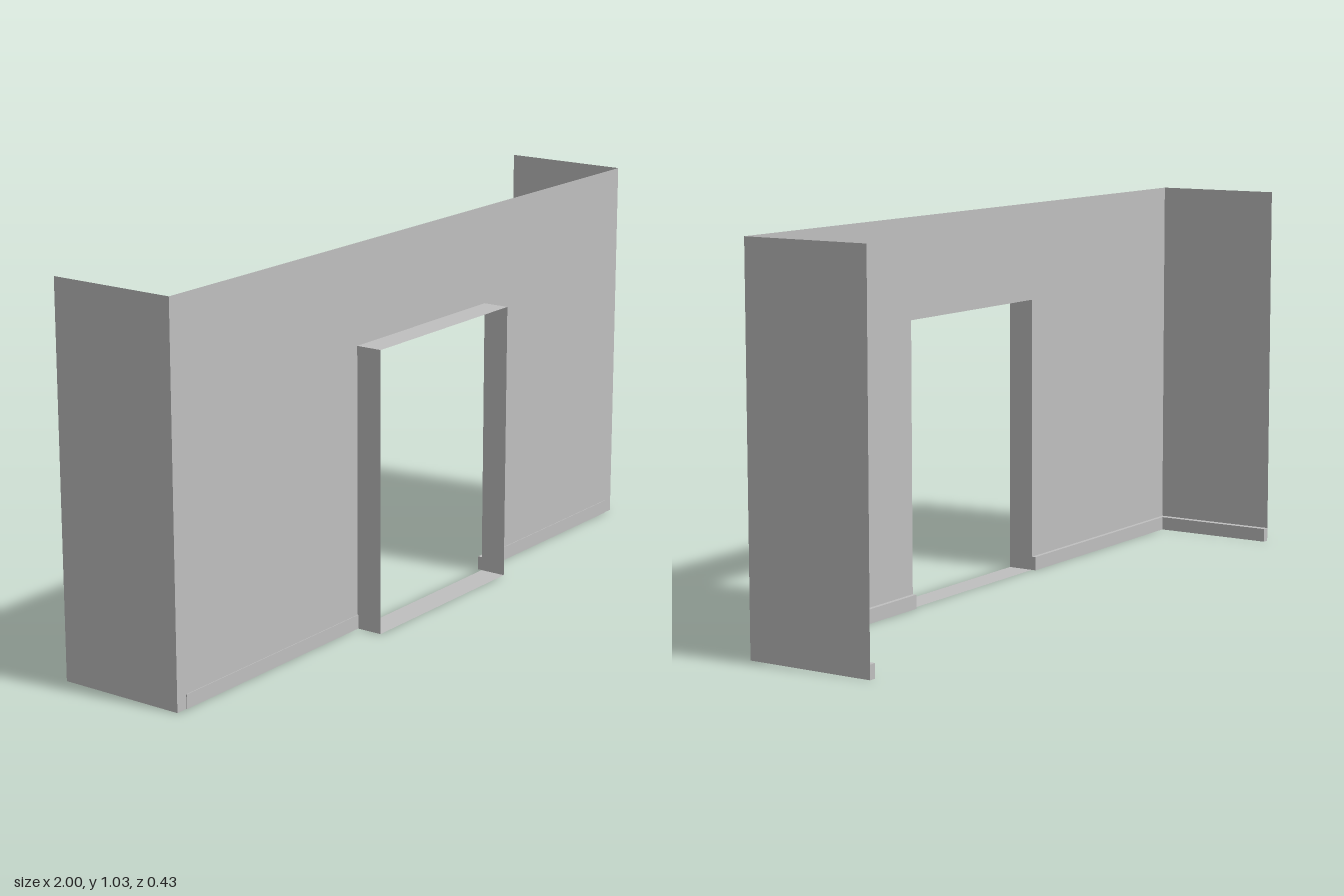
import * as THREE from 'three';

export function createModel() {
  const group = new THREE.Group();
  const plaster = new THREE.MeshStandardMaterial({ color: 0xbfbfbf, side: THREE.DoubleSide });
  plaster.name = 'plasterGrey';

  const front = 0.143, back = -0.217, reveal = 0.217; // z of wall, rear ends, frame lip
  const height = 1.035, doorL = -0.267, doorR = 0.315, doorTop = 0.766;
  const skirtH = 0.038, skirtT = 0.012, sideT = 0.02;

  const add = (name, geometry, x, y, z) => {
    const mesh = new THREE.Mesh(geometry, plaster);
    mesh.name = name;
    mesh.position.set(x, y, z);
    group.add(mesh);
    return mesh;
  };
  // box given by its extents
  const block = (name, x0, x1, y0, y1, z0, z1) =>
    add(name, new THREE.BoxGeometry(x1 - x0, y1 - y0, z1 - z0),
      (x0 + x1) / 2, (y0 + y1) / 2, (z0 + z1) / 2);

  // front wall sheet with the doorway cut out of its lower edge
  const outline = new THREE.Shape([
    [-1, 0], [doorL, 0], [doorL, doorTop], [doorR, doorTop],
    [doorR, 0], [1, 0], [1, height], [-1, height],
  ].map(([x, y]) => new THREE.Vector2(x, y)));
  add('frontWall', new THREE.ShapeGeometry(outline), 0, 0, front);

  // side wall sheets and the skirting along their inside
  const depth = front - back, midZ = (front + back) / 2;
  for (const [side, s] of [['left', 1], ['right', -1]]) {
    add(side + 'Wall', new THREE.PlaneGeometry(depth, height), s, height / 2, midZ)
      .rotation.y = s * Math.PI / 2;
    add(side + 'WallSkirting', new THREE.BoxGeometry(sideT, skirtH, depth),
      s * (1 - sideT / 2), skirtH / 2, midZ);
  }

  // skirting on both faces of the front wall, either side of the doorway
  block('rightInnerSkirting', -1 + sideT, doorL, 0, skirtH, front - skirtT, front);
  block('leftInnerSkirting', doorR, 1 - sideT, 0, skirtH, front - skirtT, front);
  block('rightOuterSkirting', -0.966, doorL, 0, skirtH, front, front + 0.002);
  block('leftOuterSkirting', doorR, 0.966, 0, skirtH, front, front + 0.002);

  // thin door reveal projecting forward: sill, lintel and two jambs
  const lip = reveal - front, lipZ = (reveal + front) / 2, doorX = (doorL + doorR) / 2;
  for (const [name, y] of [['doorSill', 0], ['doorLintel', doorTop]]) {
    add(name, new THREE.PlaneGeometry(doorR - doorL, lip), doorX, y, lipZ)
      .rotation.x = -Math.PI / 2;
  }
  for (const [name, x] of [['rightDoorJamb', doorL], ['leftDoorJamb', doorR]]) {
    add(name, new THREE.PlaneGeometry(lip, doorTop), x, doorTop / 2, lipZ)
      .rotation.y = Math.PI / 2;
  }
  return group;
}
